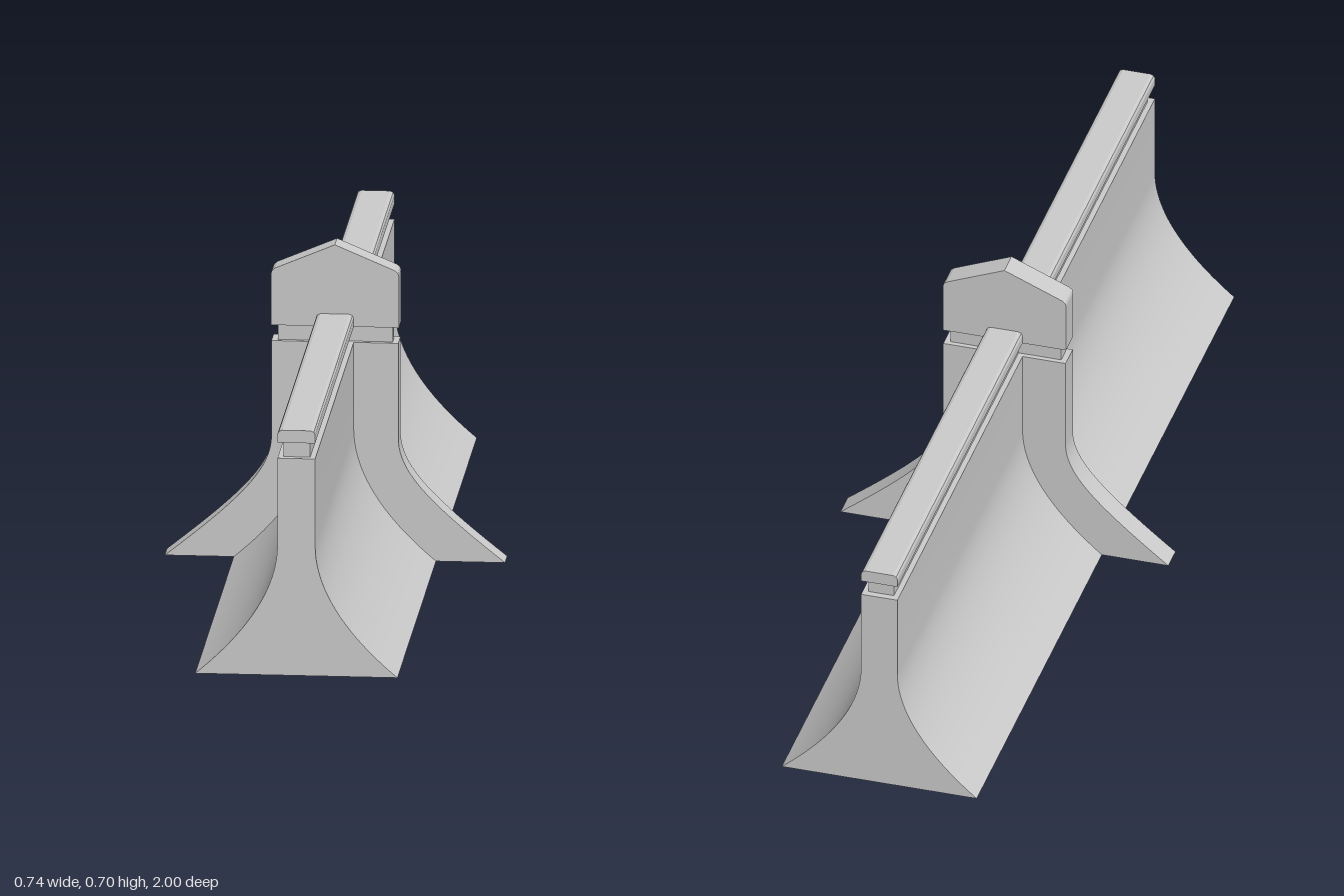
import * as THREE from 'three';
import { toCreasedNormals } from 'three/addons/utils/BufferGeometryUtils.js';

const V = (x, y) => new THREE.Vector2(x, y);
const mat = new THREE.MeshStandardMaterial({ color: 0xcccccc, side: THREE.DoubleSide });
const PIER_Z = 0.028, LEDGE = 0.487, HEAD = 0.522;

// Flared right-hand side: curved foot, then a straight stem up to the ledge
function flare(foot, c1, c2, stem) {
  const curve = new THREE.CubicBezierCurve(foot, c1, c2, stem);
  return [...curve.getPoints(20), V(stem.x, LEDGE)];
}
const flip = (pts) => pts.map((p) => V(-p.x, p.y));
const arch = (half) => [...half, ...flip(half).reverse()];

// Open surface swept along z under an outline that runs from +x over to -x
function sweep(outline, z0, z1) {
  const pos = [], idx = [];
  outline.forEach((p, i) => {
    pos.push(p.x, p.y, z0, p.x, p.y, z1);
    if (i) {
      const a = 2 * i - 2;
      idx.push(a, a + 2, a + 3, a, a + 3, a + 1);
    }
  });
  const g = new THREE.BufferGeometry();
  g.setAttribute('position', new THREE.Float32BufferAttribute(pos, 3));
  g.setIndex(idx);
  return toCreasedNormals(g, 0.5);
}

// Flat face standing at a given z, looking along +z or -z
function face(outline, z, dir) {
  const g = new THREE.ShapeGeometry(new THREE.Shape(outline));
  if (dir < 0) g.rotateY(Math.PI);
  return g.translate(0, 0, z);
}

// Closed bar with a constant section, centred on z = 0
function bar(outline, depth) {
  const g = new THREE.ExtrudeGeometry(new THREE.Shape(outline), { depth, bevelEnabled: false });
  return g.translate(0, 0, -depth / 2);
}

export function createModel() {
  const model = new THREE.Group();
  const add = (parent, name, geometry) => {
    const mesh = new THREE.Mesh(geometry, mat);
    mesh.name = name;
    parent.add(mesh);
    return mesh;
  };

  const wall = new THREE.Group();
  wall.name = 'wall';
  const pier = new THREE.Group();
  pier.name = 'pier';
  model.add(wall, pier);

  const wallHalf = flare(V(0.22, 0), V(0.1, 0.1), V(0.042, 0.2), V(0.041, 0.29));
  const pierHalf = flare(V(0.37, 0), V(0.2, 0.135), V(0.138, 0.2), V(0.138, 0.275));

  // Hollow wall, open underneath, on either side of the pier
  for (const s of [1, -1]) {
    const z = [s * PIER_Z, s].sort((a, b) => a - b);
    add(wall, 'wallBody', sweep(arch(wallHalf), z[0], z[1]));
    add(wall, 'wallEnd', face(arch(wallHalf), s, s));
  }

  // Recessed neck and chamfered coping along the top of the wall
  const neckH = HEAD - LEDGE;
  add(wall, 'wallNeck', new THREE.BoxGeometry(0.058, neckH, 1.97)).position.y = LEDGE + neckH / 2;
  const coping = [V(0.041, HEAD), V(0.041, 0.541), V(0.038, 0.547), V(0.031, 0.55)];
  add(wall, 'wallCoping', bar(arch(coping), 2));

  // Hollow pier whose cheeks stand out from the wall
  add(pier, 'pierBody', sweep(arch(pierHalf), -PIER_Z, PIER_Z));
  const cheek = [...pierHalf, ...[...wallHalf].reverse()];
  for (const s of [1, -1]) {
    add(pier, 'pierCheek', face(cheek, s * PIER_Z, s));
    add(pier, 'pierCheek', face(flip(cheek), s * PIER_Z, s));
  }

  // Recessed neck and gabled head of the pier
  add(pier, 'pierNeck', new THREE.BoxGeometry(0.25, neckH, 0.034)).position.y = LEDGE + neckH / 2;
  const headHalf = [V(0.139, HEAD), V(0.139, 0.638), V(0.137, 0.644), V(0.13, 0.65)];
  const head = [...headHalf, V(0, 0.705), ...flip(headHalf).reverse()];
  add(pier, 'pierHead', bar(head, 2 * PIER_Z));

  return model;
}
